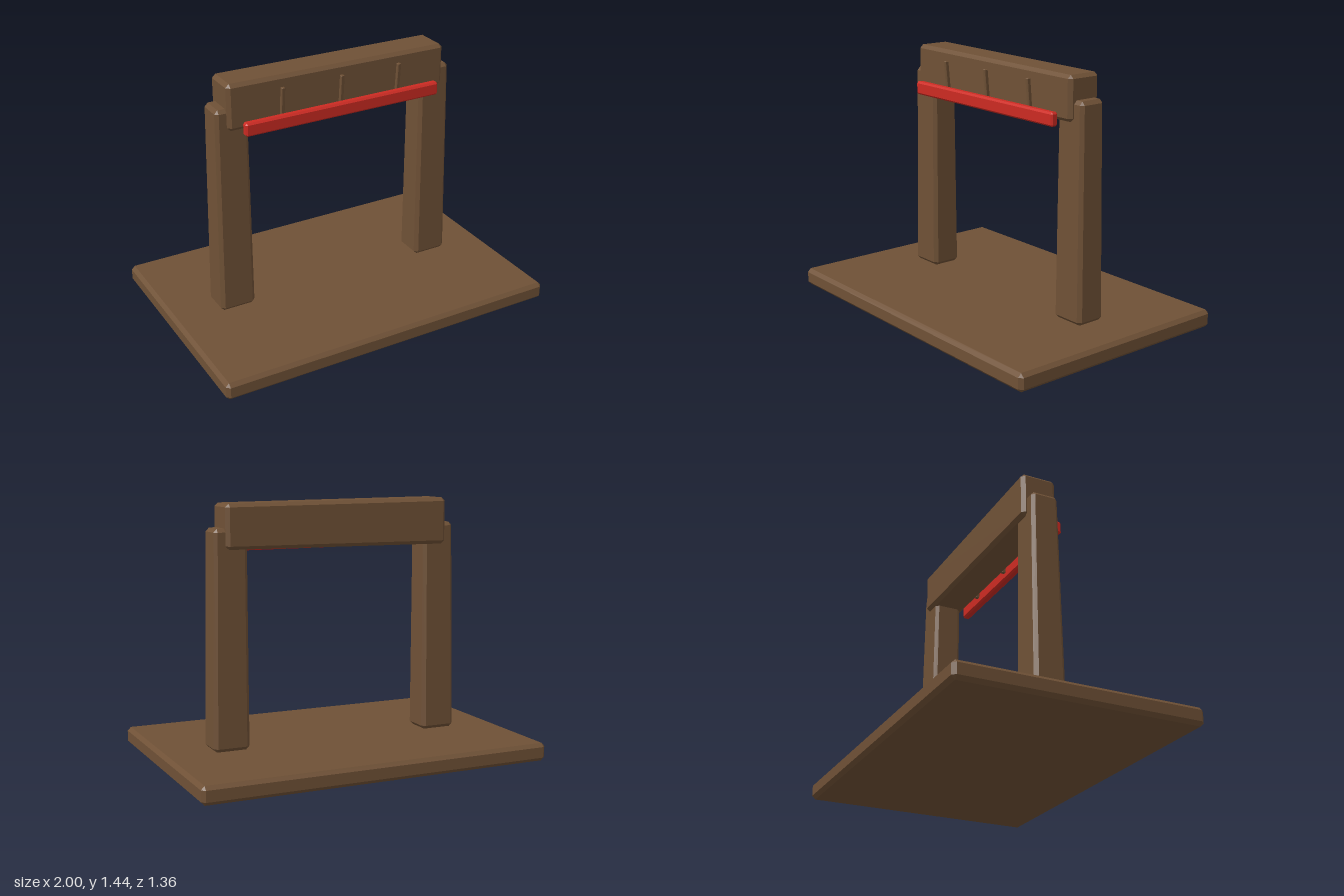
import * as THREE from 'three';
import { ConvexGeometry } from 'three/addons/geometries/ConvexGeometry.js';

const wood = new THREE.MeshStandardMaterial({ name: 'brown wood', color: 0x6f5136 });
const red = new THREE.MeshStandardMaterial({ name: 'red paint', color: 0xcc2a22 });

// Box with chamfered edges between two corners; an optional rule reshapes its points
function chamferBox(name, material, min, max, bevel, rule) {
  const points = [];
  for (const sx of [0, 1]) for (const sy of [0, 1]) for (const sz of [0, 1]) {
    const side = [sx, sy, sz];
    for (let face = 0; face < 3; face++) {
      const c = side.map((s, i) => {
        const inset = i === face ? 0 : bevel;
        return s ? max[i] - inset : min[i] + inset;
      });
      const p = new THREE.Vector3(...c);
      if (rule) rule(p);
      points.push(p);
    }
  }
  const mesh = new THREE.Mesh(new ConvexGeometry(points), material);
  mesh.name = name;
  return mesh;
}

export function createModel() {
  const model = new THREE.Group();
  model.name = 'woodenGate';

  // Base board
  model.add(chamferBox('base', wood, [-1, 0, -0.68], [1, 0.1, 0.68], 0.02));

  // Posts: upright inner face, the other sides taper towards the top
  for (const side of [1, -1]) {
    const min = [side > 0 ? 0.532 : -0.738, 0.1, -0.122];
    const max = [side > 0 ? 0.738 : -0.532, 1.297, 0.055];
    model.add(chamferBox(side > 0 ? 'leftPost' : 'rightPost', wood, min, max, 0.02, (p) => {
      const t = (p.y - 0.1) / 1.197;
      p.x = side * (0.532 + (Math.abs(p.x) - 0.532) * (1 - 0.1 * t));
      p.z = -0.0335 + (p.z + 0.0335) * (1 - 0.125 * t);
    }));
  }

  // Crossbeam, slightly slimmer towards its left end
  model.add(chamferBox('crossbeam', wood, [-0.658, 1.175, -0.138], [0.658, 1.437, 0.066], 0.02, (p) => {
    const t = (p.x + 0.658) / 1.316;
    p.y = 1.306 + (p.y - 1.306) * (1 - 0.08 * t);
    p.z += 0.006 * t;
  }));

  // Red rail in front of the beam
  model.add(chamferBox('rail', red, [-0.59, 1.16, 0.089], [0.59, 1.235, 0.134], 0.01));

  // Thin brackets leaning forward between beam and rail
  for (const x of [-0.354, 0, 0.354]) {
    model.add(chamferBox('bracket', wood, [x - 0.01, 1.19, 0.064], [x + 0.01, 1.377, 0.086], 0.003, (p) => {
      p.z += (p.y - 1.19) * 0.09;
    }));
  }

  return model;
}
